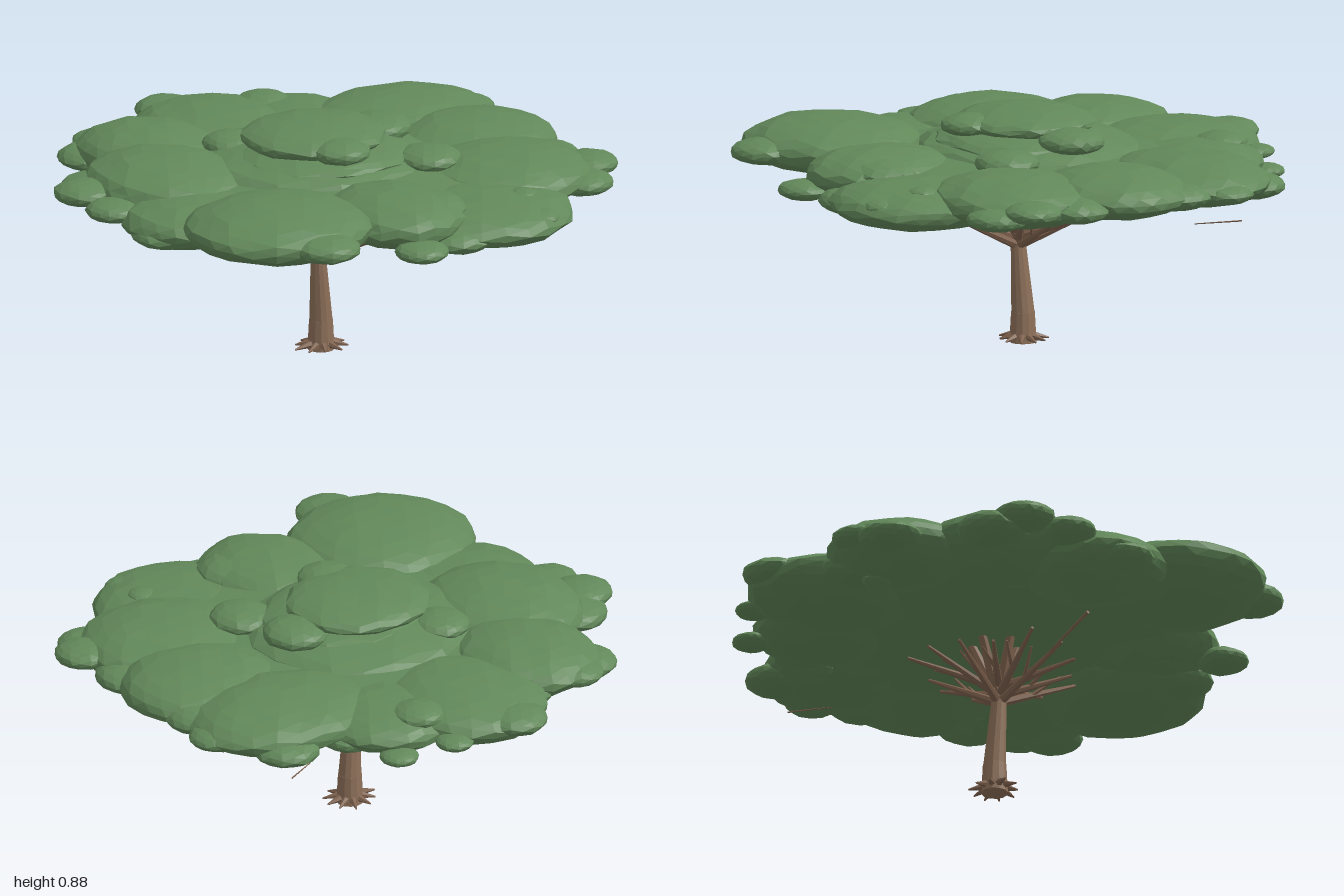
import * as THREE from 'three';

const leaf = new THREE.MeshStandardMaterial({ color: 0x62885a });
leaf.name = 'leaf green';
const bark = new THREE.MeshStandardMaterial({ color: 0x8d7059 });
bark.name = 'bark brown';
const wood = new THREE.MeshStandardMaterial({ color: 0x80634f });
wood.name = 'branch brown';
for (const m of [leaf, bark, wood]) m.flatShading = true;

const V = (x, y, z) => new THREE.Vector3(x, y, z);

function add(parent, name, geometry, material) {
  const mesh = new THREE.Mesh(geometry, material);
  mesh.name = name;
  parent.add(mesh);
  return mesh;
}

// tapered limb between two points
function limb(parent, name, a, b, r0, r1, material, sides = 7) {
  const dir = b.clone().sub(a);
  const mesh = add(parent, name, new THREE.CylinderGeometry(r1, r0, dir.length(), sides), material);
  mesh.position.copy(a).addScaledVector(dir, 0.5);
  mesh.quaternion.setFromUnitVectors(V(0, 1, 0), dir.normalize());
}

// flattened faceted foliage clump with gentle position-based bumps
function clump(parent, name, center, radii, seed, detail) {
  const g = new THREE.IcosahedronGeometry(1, detail);
  const p = g.attributes.position;
  const v = V(0, 0, 0);
  for (let i = 0; i < p.count; i++) {
    v.fromBufferAttribute(p, i);
    const bump = Math.sin(v.x * 7.1 + seed * 2.3) * Math.sin(v.z * 7.7 + seed) + Math.sin(v.y * 8 + v.x * 11 + seed) * 0.6;
    v.multiplyScalar(1.01 + bump * 0.025).multiply(radii);
    p.setXYZ(i, v.x, v.y, v.z);
  }
  g.computeVertexNormals();
  add(parent, name, g, leaf).position.copy(center);
}

// x, z, radius x, radius z, y, radius y
const largeClumps = [
  [0.0, 0.02, 0.76, 0.74, 0.675, 0.075],
  [-0.02, 0.0, 0.44, 0.42, 0.715, 0.095],
  [-0.02, 0.01, 0.27, 0.25, 0.83, 0.056],
  [0.0, 0.04, 0.33, 0.31, 0.765, 0.06],
  [-0.51, 0.55, 0.35, 0.33, 0.71, 0.1],
  [-0.04, 0.6, 0.25, 0.29, 0.69, 0.095],
  [-0.57, -0.14, 0.29, 0.32, 0.705, 0.1],
  [-0.63, 0.17, 0.28, 0.27, 0.66, 0.085],
  [-0.42, -0.5, 0.26, 0.28, 0.695, 0.095],
  [-0.05, -0.62, 0.3, 0.33, 0.675, 0.09],
  [0.25, -0.55, 0.26, 0.26, 0.665, 0.08],
  [0.58, -0.35, 0.36, 0.28, 0.69, 0.09],
  [0.68, 0.02, 0.305, 0.28, 0.69, 0.09],
  [0.58, 0.38, 0.33, 0.31, 0.68, 0.095],
  [0.32, 0.64, 0.34, 0.33, 0.645, 0.085],
];
// round clumps of one proportion: x, z, radius, y
const smallClumps = [
  [0.28, -0.02, 0.125, 0.8],
  [-0.04, 0.23, 0.11, 0.83],
  [0.32, 0.27, 0.12, 0.755],
  [-0.23, -0.22, 0.11, 0.77],
  [-0.1, -0.88, 0.12, 0.69],
  [0.16, -0.86, 0.07, 0.66],
  [0.36, -0.79, 0.073, 0.63],
  [0.2, -0.69, 0.1, 0.72],
  [0.7, -0.55, 0.125, 0.66],
  [0.87, -0.35, 0.105, 0.68],
  [0.82, -0.17, 0.135, 0.68],
  [0.83, 0.26, 0.13, 0.67],
  [0.42, -0.56, 0.115, 0.64],
  [-0.885, -0.2, 0.115, 0.7],
  [-0.78, -0.28, 0.135, 0.68],
  [-0.87, -0.02, 0.105, 0.68],
  [-0.8, 0.22, 0.12, 0.64],
  [-0.6, -0.62, 0.12, 0.67],
  [-0.5, -0.7, 0.105, 0.69],
  [-0.29, -0.64, 0.135, 0.66],
  [-0.49, 0.85, 0.125, 0.71],
  [-0.1, 0.89, 0.1, 0.64],
  [0.11, 0.8, 0.13, 0.63],
  [0.07, 0.65, 0.15, 0.71],
  [0.89, 0.47, 0.108, 0.69],
  [0.8, 0.57, 0.115, 0.66],
  [0.46, 0.7, 0.055, 0.71],
  [0.43, 0.85, 0.08, 0.67],
];

export function createModel() {
  const tree = new THREE.Group();
  tree.name = 'flatToppedTree';

  // trunk: flared foot and leaning, tapering stem
  const trunk = new THREE.Group();
  trunk.name = 'trunk';
  tree.add(trunk);
  const fork = V(-0.018, 0.37, 0.04);
  limb(trunk, 'trunkFoot', V(0, 0, 0.03), V(0, 0.115, 0.03), 0.05, 0.044, bark, 12);
  limb(trunk, 'trunkStem', V(0, 0.11, 0.03), fork, 0.043, 0.028, bark, 12);

  // ring of short roots
  for (let i = 0; i < 10; i++) {
    const a = (i / 10) * Math.PI * 2;
    const r = 0.1 + 0.006 * ((i * 7) % 3);
    limb(trunk, 'root', V(Math.cos(a) * 0.03, 0.027, 0.03 + Math.sin(a) * 0.03),
      V(Math.cos(a) * r, 0.014, 0.03 + Math.sin(a) * r * 0.85), 0.017, 0.003, wood, 6);
  }

  // low spreading branches, each with a side twig
  const branches = new THREE.Group();
  branches.name = 'branches';
  tree.add(branches);
  for (let i = 0; i < 14; i++) {
    const a = (i / 14) * Math.PI * 2;
    const r = 0.27 + 0.07 * ((i * 5) % 4) / 3;
    const start = fork.clone().add(V(0, -0.01 + 0.03 * (i % 3), 0));
    const tip = V(fork.x + Math.cos(a) * r, 0.49 + 0.01 * (i % 4), fork.z + Math.sin(a) * r);
    limb(branches, 'spreadingBranch', start, tip, 0.018, 0.006, wood);
    const mid = start.clone().lerp(tip, 0.4);
    limb(branches, 'twig', mid, V(fork.x + Math.cos(a + 0.25) * r * 0.7, 0.505, fork.z + Math.sin(a + 0.25) * r * 0.7), 0.009, 0.004, wood, 5);
  }

  // steep limbs carrying the crown
  for (let i = 0; i < 5; i++) {
    const a = (i / 5) * Math.PI * 2 + 0.3;
    limb(branches, 'crownLimb', fork, V(Math.cos(a) * 0.1, 0.64, 0.03 + Math.sin(a) * 0.1), 0.022, 0.016, wood);
  }

  // thin outer twigs
  limb(branches, 'outerTwig', V(-0.27, 0.475, 0.14), V(-0.51, 0.545, 0.2), 0.004, 0.007, wood, 5);
  limb(branches, 'outerTwig', V(0.5, 0.49, -0.42), V(0.66, 0.52, -0.53), 0.002, 0.003, wood, 5);

  // broad flat canopy
  const canopy = new THREE.Group();
  canopy.name = 'canopy';
  tree.add(canopy);
  largeClumps.forEach(([x, z, rx, rz, y, ry], i) => clump(canopy, 'largeClump', V(x, y, z), V(rx, ry, rz), i, 3));
  smallClumps.forEach(([x, z, r, y], i) => clump(canopy, 'smallClump', V(x, y, z), V(r, r * 0.38, r), i + 20, 2));

  // little tufts hanging under the canopy
  for (let i = 0; i < 5; i++) {
    const a = i * 1.26 + 0.4;
    clump(canopy, 'undersideTuft', V(Math.cos(a) * 0.68, 0.615, Math.sin(a) * 0.66), V(0.06, 0.025, 0.06), i + 50, 1);
  }

  return tree;
}
